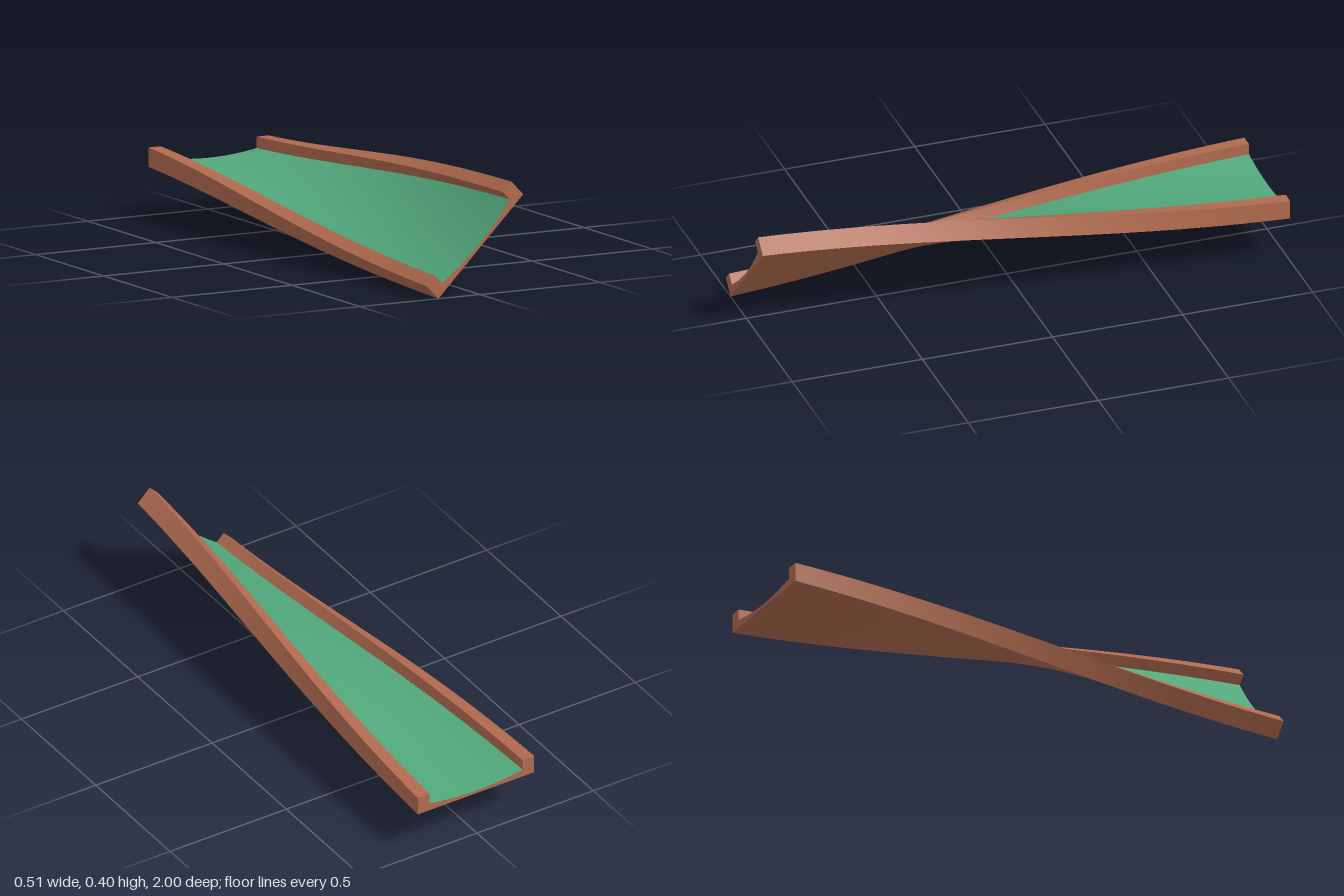
import * as THREE from 'three';

const STEPS = 32, CX = 0.004, CY = 0.178;
const HALF = 0.25, INNER = 0.2, TOP = 0.072, EDGE = 0.03, MID = 0.012;

// twist angle along the length: level at the back, 45 degrees at the front
function twist(z) {
  const t = (z + 1) / 2;
  const smooth = t * t * (3 - 2 * t);
  return (Math.PI / 4) * (0.5 * t + 0.5 * smooth);
}

function place([x, y], z) {
  const a = twist(z), c = Math.cos(a), s = Math.sin(a);
  return [CX + x * c - y * s, CY + x * s + y * c, z];
}

// sweeps a run of profile points (counterclockwise) along the twisting axis
function sweep(points) {
  const pos = [], index = [], n = points.length;
  for (let j = 0; j <= STEPS; j++) {
    const z = -1 + (2 * j) / STEPS;
    for (const p of points) pos.push(...place(p, z));
  }
  for (let j = 0; j < STEPS; j++) {
    for (let i = 0; i < n - 1; i++) {
      const a = j * n + i, b = a + 1, c = a + n, d = c + 1;
      index.push(a, b, d, a, d, c);
    }
  }
  const g = new THREE.BufferGeometry();
  g.setAttribute('position', new THREE.Float32BufferAttribute(pos, 3));
  g.setIndex(index);
  g.computeVertexNormals();
  return g;
}

export function createModel() {
  const group = new THREE.Group();
  const wood = new THREE.MeshStandardMaterial({ color: 0xb06a4e });
  wood.name = 'terracotta';
  const felt = new THREE.MeshStandardMaterial({ color: 0x52a87c });
  felt.name = 'green';

  const add = (name, geometry, material) => {
    const mesh = new THREE.Mesh(geometry, material);
    mesh.name = name;
    group.add(mesh);
    return mesh;
  };

  // shallow concave channel, from the left side to the right
  const bed = [];
  for (let i = 0; i <= 16; i++) {
    const u = 1 - i / 8;
    bed.push([INNER * u, MID + (EDGE - MID) * u * u]);
  }
  add('channelBed', sweep(bed), felt);

  // flat underside
  const under = [];
  for (let i = 0; i <= 8; i++) under.push([-HALF + (2 * HALF * i) / 8, 0]);
  add('underside', sweep(under), wood);

  // side rails: outer wall, top and inner wall, each with sharp edges
  const leftRail = [[HALF, 0], [HALF, TOP], [INNER, TOP], [INNER, EDGE]];
  const rightRail = leftRail.map(([x, y]) => [-x, y]).reverse();
  for (const [name, rail] of [['leftRail', leftRail], ['rightRail', rightRail]]) {
    const part = new THREE.Group();
    part.name = name;
    ['WallA', 'Top', 'WallB'].forEach((suffix, i) => {
      const mesh = new THREE.Mesh(sweep([rail[i], rail[i + 1]]), wood);
      mesh.name = name + suffix;
      part.add(mesh);
    });
    group.add(part);
  }

  // end faces closing the section
  const outline = [[-HALF, 0], ...leftRail, ...bed.slice(1, -1), ...rightRail.slice(0, 3)];
  const shape = new THREE.Shape(outline.map(([x, y]) => new THREE.Vector2(x, y)));
  const front = add('frontEnd', new THREE.ShapeGeometry(shape), wood);
  front.position.set(CX, CY, 1);
  front.rotation.z = twist(1);
  const back = add('backEnd', new THREE.ShapeGeometry(shape), wood);
  back.position.set(CX, CY, -1);
  back.rotation.y = Math.PI;

  return group;
}
